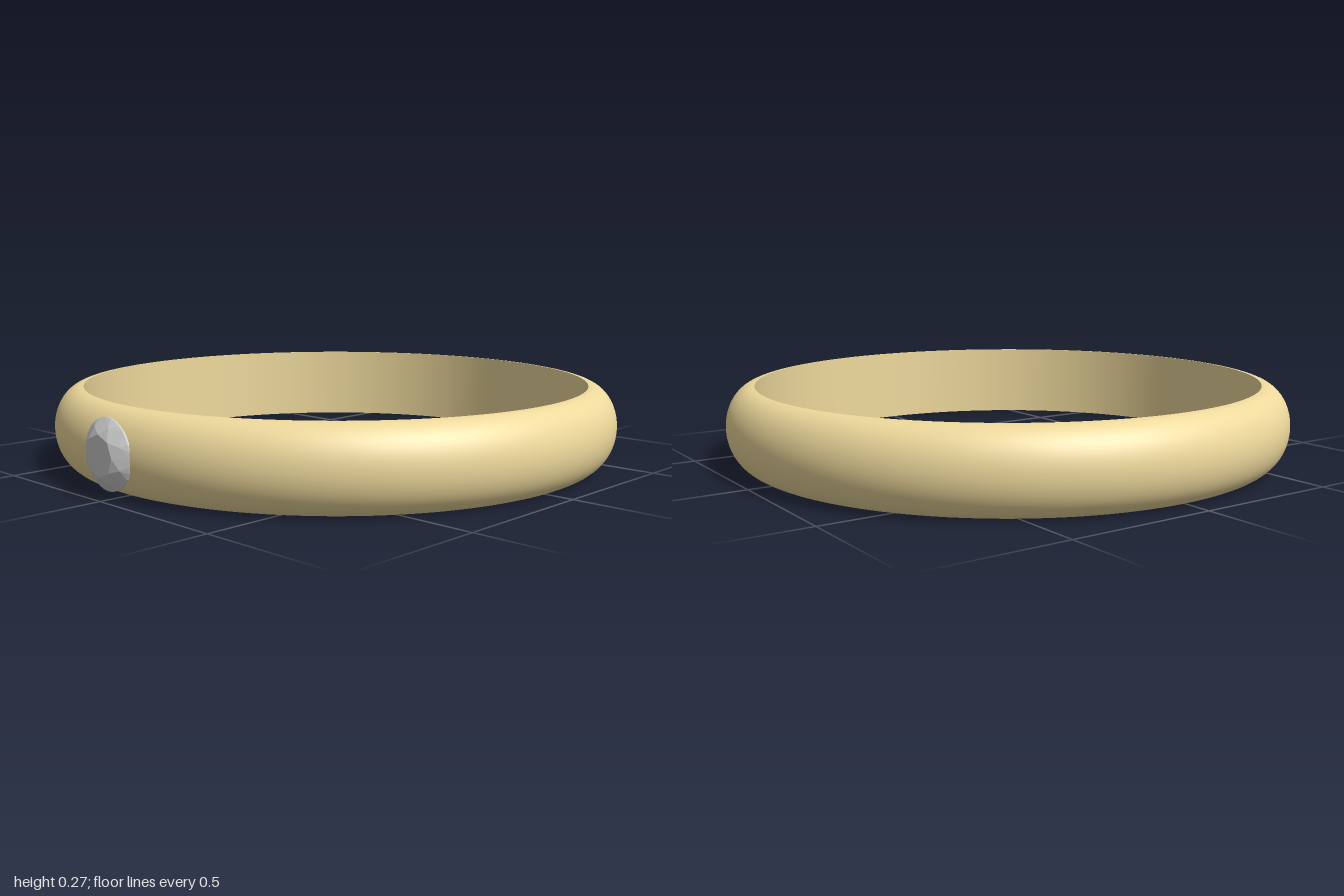
import * as THREE from 'three';
import { ConvexGeometry } from 'three/addons/geometries/ConvexGeometry.js';

const INNER = 0.887, DEPTH = 0.1, HALF = 0.136;

export function createModel() {
  const group = new THREE.Group();
  const gold = new THREE.MeshStandardMaterial({ color: 0xeed99c });
  const stone = new THREE.MeshStandardMaterial({ color: 0xcccccc, flatShading: true });

  // Band: domed outside (half ellipse), straight inside
  const dome = [];
  for (let i = 0; i <= 32; i++) {
    const a = -Math.PI / 2 + (Math.PI * i) / 32;
    dome.push(new THREE.Vector2(INNER + DEPTH * Math.cos(a), HALF * (1 + Math.sin(a))));
  }
  const inside = [new THREE.Vector2(INNER, 2 * HALF), new THREE.Vector2(INNER, 0)];
  const band = new THREE.Group();
  band.name = 'band';
  for (const [name, profile] of [['bandOutside', dome], ['bandInside', inside]]) {
    const mesh = new THREE.Mesh(new THREE.LatheGeometry(profile, 160), gold);
    mesh.name = name;
    band.add(mesh);
  }
  band.position.z = -0.013;
  group.add(band);

  // Round brilliant gem: rings of corners [count, radius, depth, turn] along its axis
  const rings = [
    [8, 0.066, 0.036, 0],            // table
    [8, 0.092, 0.022, Math.PI / 8],  // crown kites
    [32, 0.113, 0.003, 0],           // girdle top
    [32, 0.113, -0.003, 0],          // girdle bottom
    [8, 0.05, -0.05, Math.PI / 8],   // pavilion
    [1, 0, -0.082, 0],               // culet
  ];
  const points = [];
  for (const [count, r, z, turn] of rings) {
    for (let i = 0; i < count; i++) {
      const a = (2 * Math.PI * i) / count + turn;
      points.push(new THREE.Vector3(r * Math.cos(a), r * Math.sin(a), z));
    }
  }
  const gem = new THREE.Mesh(new ConvexGeometry(points), stone);
  gem.name = 'gem';
  gem.position.set(0, 0.138, 0.964);
  group.add(gem);

  return group;
}
